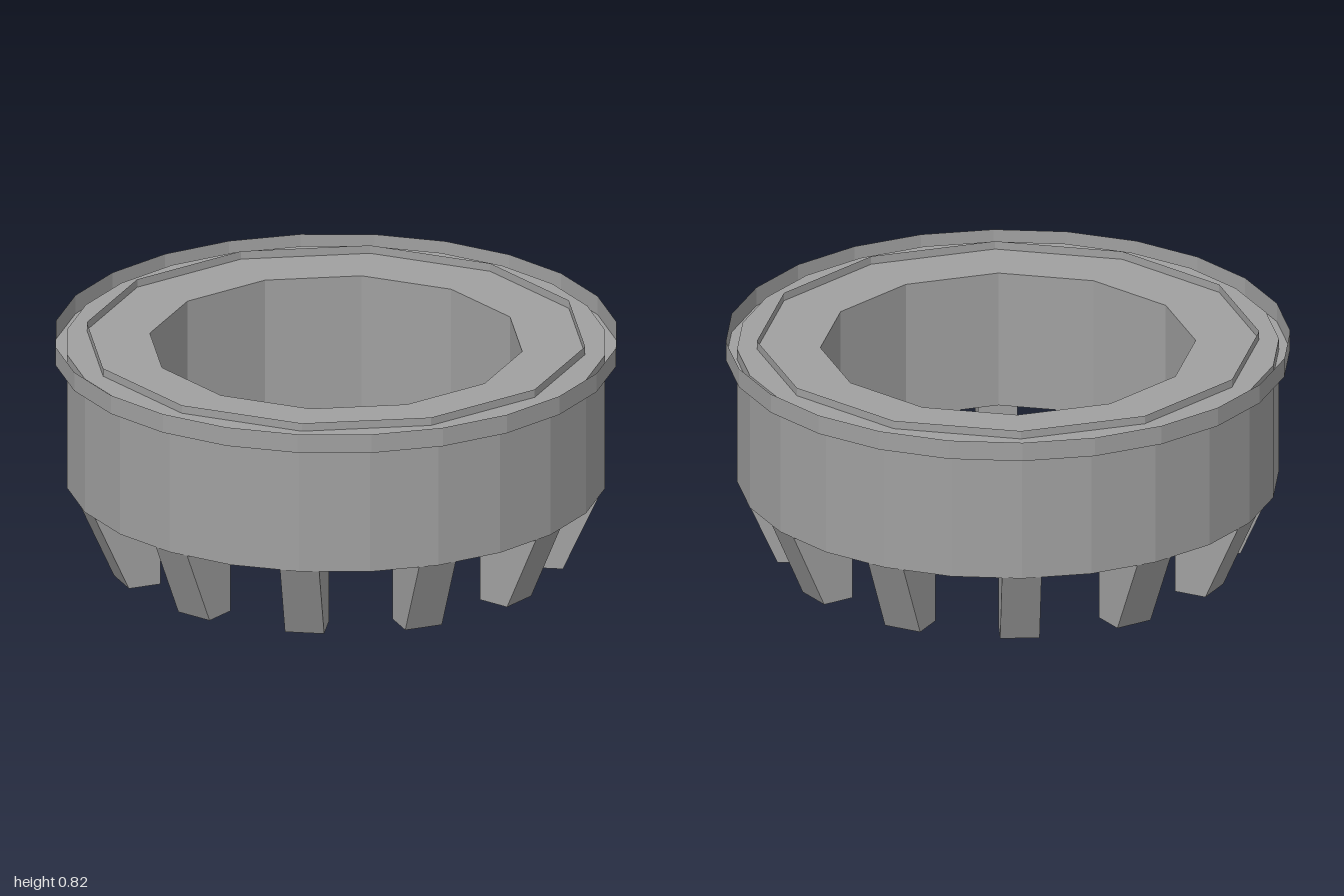
import * as THREE from 'three';

const TOP = 0.82, DECK = 0.79, FLANGE = 0.75, BASE = 0.285;

// Regular polygon with one corner on the +y axis of the drawing plane
function polygon(radius, sides) {
  return Array.from({ length: sides }, (_, i) => {
    const a = (i / sides) * Math.PI * 2;
    return new THREE.Vector2(Math.sin(a) * radius, Math.cos(a) * radius);
  });
}

export function createModel() {
  const model = new THREE.Group();
  model.name = 'collar';
  const grey = new THREE.MeshStandardMaterial({ color: 0xa0a0a0, flatShading: true, side: THREE.DoubleSide });
  grey.name = 'grey';

  const add = (name, geometry, parent = model) => {
    const mesh = new THREE.Mesh(geometry, grey);
    mesh.name = name;
    parent.add(mesh);
    return mesh;
  };

  // Ring body: 24-sided outside, 12-sided hole
  const ring = new THREE.Shape(polygon(0.96, 24));
  ring.holes.push(new THREE.Path(polygon(0.665, 12)));
  const body = new THREE.ExtrudeGeometry(ring, { depth: DECK - BASE, bevelEnabled: false });
  body.rotateX(-Math.PI / 2).translate(0, BASE, 0);
  add('ringBody', body);

  // Thin flange: a narrow ledge and an upright edge
  add('flange', new THREE.LatheGeometry([
    new THREE.Vector2(0.96, FLANGE),
    new THREE.Vector2(1, FLANGE),
    new THREE.Vector2(1, TOP),
  ], 24));

  // Thin upright lip on the deck
  const lip = new THREE.CylinderGeometry(0.89, 0.89, TOP - DECK, 12, 1, true);
  lip.translate(0, (TOP + DECK) / 2, 0);
  add('deckLip', lip);

  // Twelve legs with sloping outer faces
  const profile = new THREE.Shape([
    new THREE.Vector2(0.70, 0),
    new THREE.Vector2(0.82, 0),
    new THREE.Vector2(0.95, BASE),
    new THREE.Vector2(0.70, BASE),
  ]);
  const leg = new THREE.ExtrudeGeometry(profile, { depth: 0.14, bevelEnabled: false });
  leg.translate(0, 0, -0.07);
  const legs = new THREE.Group();
  legs.name = 'legs';
  model.add(legs);
  for (let i = 0; i < 12; i++) add('leg', leg, legs).rotation.y = (i / 12) * Math.PI * 2;

  return model;
}
